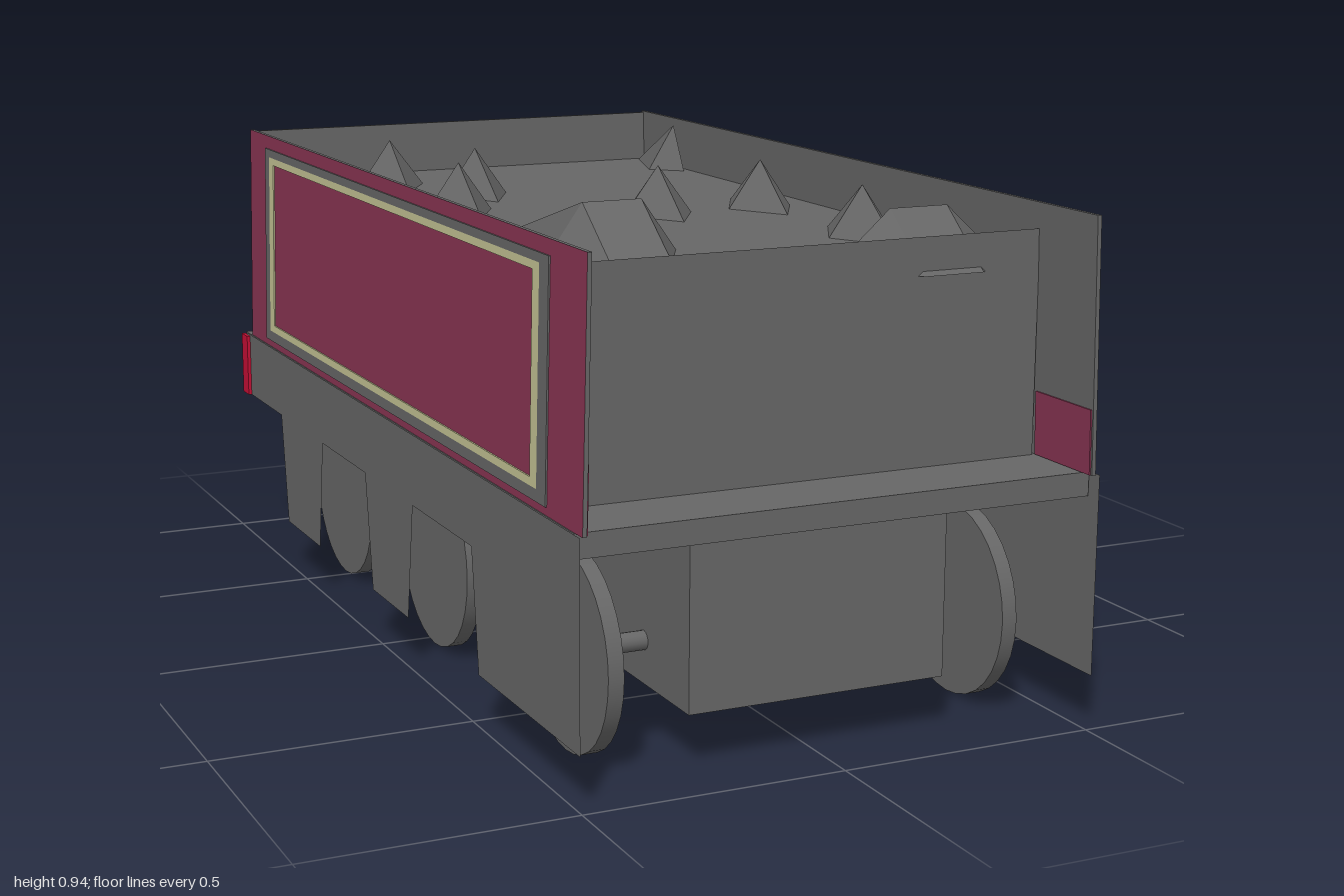
import * as THREE from 'three';
import { ConvexGeometry } from 'three/addons/geometries/ConvexGeometry.js';

const material = (name, color, side = THREE.FrontSide) => {
  const m = new THREE.MeshStandardMaterial({ color, side });
  m.name = name;
  return m;
};

export function createModel() {
  const gray = material('iron gray', 0x666666);
  const sheet = material('sheet gray', 0x666666, THREE.DoubleSide);
  const maroon = material('maroon', 0x873452);
  const red = material('beam red', 0xc40f35);
  const cream = material('cream lining', 0xc2c192);

  const model = new THREE.Group();
  model.name = 'coalTender';

  const add = (name, geometry, mat) => {
    const mesh = new THREE.Mesh(geometry, mat);
    mesh.name = name;
    model.add(mesh);
    return mesh;
  };
  // box given by its limits
  const box = (x0, x1, y0, y1, z0, z1) =>
    new THREE.BoxGeometry(x1 - x0, y1 - y0, z1 - z0)
      .translate((x0 + x1) / 2, (y0 + y1) / 2, (z0 + z1) / 2);
  // outline of [z, y] points extruded along x, centred on x
  const path = (pts) => pts.map(([z, y]) => new THREE.Vector2(z, y));
  const extrudeX = (pts, width, x, hole) => {
    const shape = new THREE.Shape(path(pts));
    if (hole) shape.holes.push(new THREE.Path(path(hole)));
    return new THREE.ExtrudeGeometry(shape, { depth: width, bevelEnabled: false })
      .translate(0, 0, -width / 2).rotateY(-Math.PI / 2).translate(x, 0, 0);
  };
  const rect = (z0, z1, y0, y1) => [[z0, y0], [z1, y0], [z1, y1], [z0, y1]];
  // tilt a side sheet inwards towards its top
  const lean = (geometry, s) => {
    const p = geometry.attributes.position;
    for (let i = 0; i < p.count; i++) p.setX(i, p.getX(i) - s * (p.getY(i) - 0.48) * 0.021);
    geometry.computeVertexNormals();
    return geometry;
  };

  // deck, tank between the wheels, rear beam
  add('deck', box(-0.5, 0.505, 0.435, 0.48, -0.92, 0.97), gray);
  add('underTank', box(-0.25, 0.26, 0.105, 0.436, -0.91, 0.89), gray);
  add('rearBeam', box(-0.51, 0.508, 0.34, 0.476, -0.922, -0.88), red);

  // bunker body with a raised sloping front lip
  add('coalBunker', extrudeX(
    [[-0.872, 0.478], [0.82, 0.478], [0.82, 0.9], [0.72, 0.835], [-0.872, 0.835]], 0.966, 0), gray);

  // rear wall, painted outside only, with two small plates
  add('rearWall', box(-0.488, 0.488, 0.48, 0.945, -0.877, -0.868),
    [gray, gray, gray, gray, gray, maroon]);
  for (const y of [0.56, 0.86])
    add('rearPlate', box(-0.06, 0.06, y - 0.022, y + 0.022, -0.882, -0.876), cream);

  // frame plate outline with axle guards hanging over the wheels
  const frame = [[1, 0.48], [1, 0.105], [0.54, 0.105], [0.51, 0.34], [0.2, 0.34], [0.165, 0.105],
    [-0.045, 0.105], [-0.08, 0.34], [-0.355, 0.34], [-0.39, 0.105], [-0.615, 0.105],
    [-0.65, 0.34], [-0.91, 0.34], [-0.91, 0.48]];

  for (const s of [1, -1]) {
    // side sheets: maroon outside, gray inside
    const faces = [gray, gray, gray, gray, gray, gray];
    faces[s > 0 ? 0 : 1] = maroon;
    const x0 = s * 0.49, x1 = s * 0.498;
    add('sideSheet', lean(box(Math.min(x0, x1), Math.max(x0, x1), 0.48, 0.948, -0.877, 1), s), faces);
    add('cabInnerPatch', lean(box(s * 0.489 - 0.002, s * 0.489 + 0.002, 0.481, 0.6, 0.822, 0.996), s), maroon);

    // gray border and cream lining
    add('panelBorder', lean(extrudeX(rect(-0.755, 0.85, 0.495, 0.92), 0.004, s * 0.499,
      rect(-0.725, 0.81, 0.517, 0.903)), s), gray);
    add('panelLining', lean(extrudeX(rect(-0.725, 0.81, 0.517, 0.903), 0.004, s * 0.499,
      rect(-0.695, 0.78, 0.532, 0.888)), s), cream);

    // frame plate
    const plate = new THREE.ShapeGeometry(new THREE.Shape(path(frame)))
      .rotateY(-Math.PI / 2).translate(s > 0 ? 0.507 : -0.503, 0, 0);
    add('framePlate', plate, sheet);

    // wheels and axle stubs
    for (const z of [0.705, 0.04, -0.525]) {
      add('wheel', new THREE.CylinderGeometry(0.186, 0.186, 0.03, 32)
        .rotateZ(Math.PI / 2).translate(0.006 + s * 0.394, 0.189, z), gray);
      add('axleStub', new THREE.CylinderGeometry(0.018, 0.018, 0.09, 16)
        .rotateZ(Math.PI / 2).translate(0.006 + s * 0.278, 0.187, z), gray);
    }

    // buffers
    add('buffer', new THREE.CylinderGeometry(0.07, 0.07, 0.09, 24)
      .rotateX(Math.PI / 2).translate(s * 0.41, 0.415, -0.955), gray);
  }

  // coal lumps: x range, z range, peak x range, peak z
  const lumps = [
    [-0.31, -0.155, -0.8, -0.53, -0.235, -0.235, -0.66],
    [-0.19, -0.04, -0.59, -0.31, -0.115, -0.115, -0.45],
    [-0.31, -0.16, -0.37, -0.1, -0.235, -0.235, -0.235],
    [0.04, 0.2, -0.165, 0.105, 0.12, 0.12, -0.025],
    [0.28, 0.43, -0.165, 0.105, 0.355, 0.355, -0.025],
    [-0.31, -0.04, 0.04, 0.54, -0.235, -0.115, 0.4],
    [0.28, 0.43, 0.26, 0.54, 0.355, 0.355, 0.4],
    [0.12, 0.475, 0.55, 0.83, 0.24, 0.36, 0.7],
    [-0.475, -0.39, -0.87, -0.74, -0.465, -0.465, -0.865],
    [0.4, 0.475, -0.87, -0.61, 0.465, 0.465, -0.67],
  ];
  for (const [xa, xb, za, zb, pa, pb, pz] of lumps) {
    const y = 0.83, top = 0.935;
    const points = [[xa, y, pz], [xb, y, pz], [pa, y, za], [pa, y, zb], [pb, y, zb], [pa, top, pz]];
    if (pb > pa) points.push([pb, top, pz]);
    add('coalLump', new ConvexGeometry(points.map((p) => new THREE.Vector3(...p))), gray);
  }

  return model;
}
